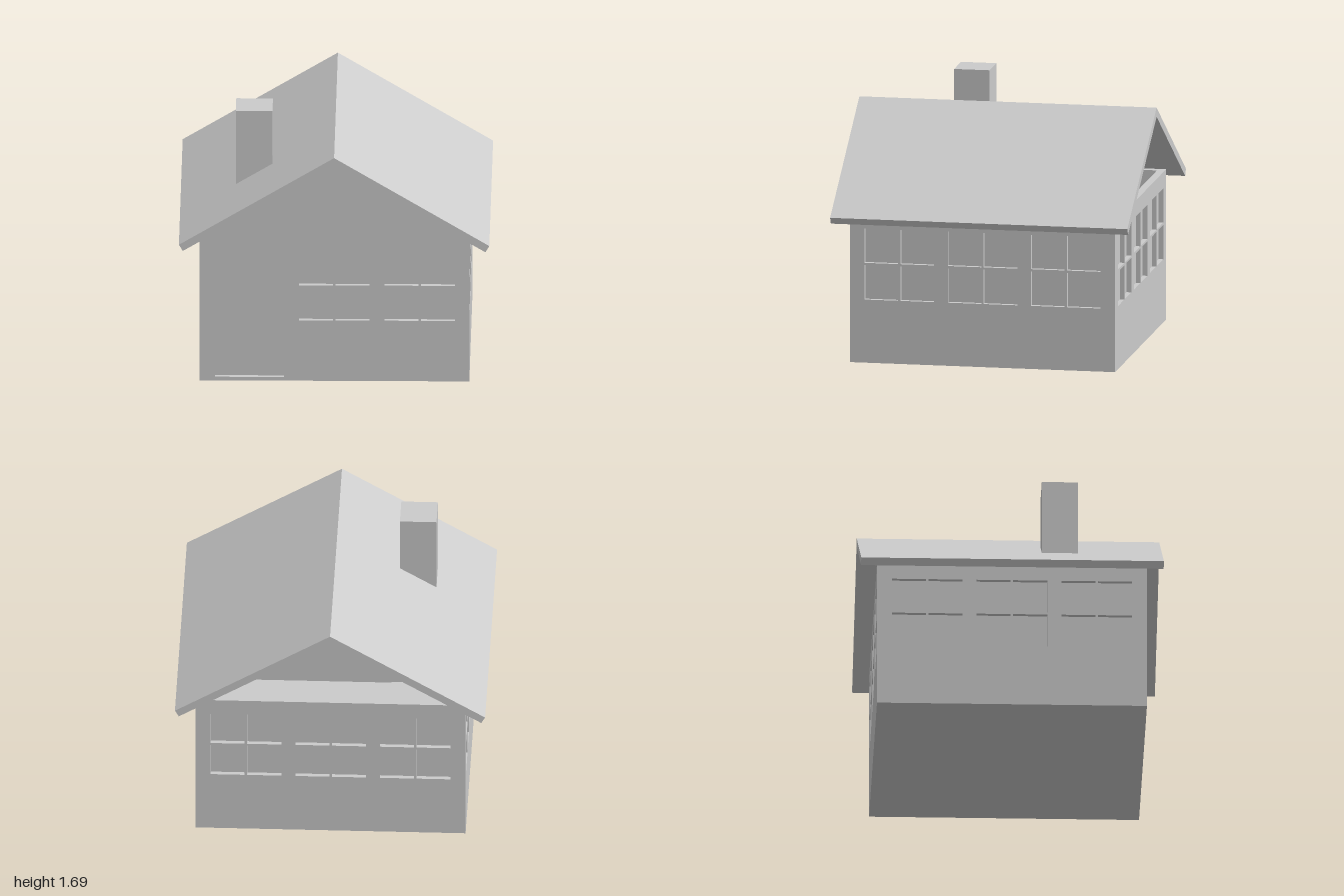
import * as THREE from 'three';

const HALF = 0.87;      // half width of the house
const WALL = 0.05;      // wall thickness
const SKIN = 0.03;      // depth of the outer reveal
const EAVE = 0.988;     // wall height under the roof
const mat = new THREE.MeshStandardMaterial({ color: 0xcccccc });

function add(parent, name, geo, x = 0, y = 0, z = 0) {
  const mesh = new THREE.Mesh(geo, mat);
  mesh.name = name;
  mesh.position.set(x, y, z);
  parent.add(mesh);
  return mesh;
}

function extrude(points, holes, depth) {
  const shape = new THREE.Shape(points.map(p => new THREE.Vector2(...p)));
  for (const [x0, y0, x1, y1] of holes) {
    shape.holes.push(new THREE.Path([
      new THREE.Vector2(x0, y0), new THREE.Vector2(x0, y1),
      new THREE.Vector2(x1, y1), new THREE.Vector2(x1, y0)]));
  }
  return new THREE.ExtrudeGeometry(shape, { depth, bevelEnabled: false });
}

// A wall whose outer face lies at local z = 0 and looks along +z
function makeWall(name, outline, windowCentres, door) {
  const wall = new THREE.Group();
  wall.name = name;
  const outer = [], inner = [];
  for (const c of windowCentres) {
    inner.push([c - 0.228, 0.415, c + 0.228, 0.882]);
    for (const [x0, x1] of [[-0.228, -0.008], [0.008, 0.228]])
      for (const [y0, y1] of [[0.415, 0.641], [0.656, 0.882]])
        outer.push([c + x0, y0, c + x1, y1]);
  }
  if (door) { outer.push(door); inner.push(door); }

  // Outer skin keeps the glazing bars, inner skin has plain openings
  add(wall, name + 'Outer', extrude(outline, outer, SKIN), 0, 0, -SKIN);
  add(wall, name + 'Inner', extrude(outline, inner, WALL - SKIN), 0, 0, -WALL);

  // Recessed window panes and door leaf
  for (const r of inner) {
    const geo = new THREE.BoxGeometry(r[2] - r[0], r[3] - r[1], 0.01);
    add(wall, r === door ? 'door' : 'windowPane', geo,
      (r[0] + r[2]) / 2, (r[1] + r[3]) / 2, -SKIN - 0.005);
  }
  return wall;
}

export function createModel() {
  const house = new THREE.Group();
  house.name = 'house';
  const rect = w => [[-w, 0], [w, 0], [w, EAVE], [-w, EAVE]];
  const three = [-0.546, 0, 0.546];

  // Floor slab
  const inside = 2 * (HALF - WALL);
  add(house, 'floor', new THREE.BoxGeometry(inside, 0.025, inside), 0, 0.0125, 0);

  // Front wall with full gable, door and two windows
  const gable = [[-HALF, 0], [HALF, 0], [HALF, EAVE], [0, 1.51], [-HALF, EAVE]];
  const front = makeWall('frontWall', gable, [0, 0.55], [-0.77, 0.025, -0.325, 0.882]);
  front.position.z = HALF;
  house.add(front);

  // Back wall stops at the eaves, leaving the gable open
  const back = makeWall('backWall', rect(HALF), three);
  back.rotation.y = Math.PI;
  back.position.z = -HALF;
  house.add(back);

  // Side walls fit between front and back
  for (const s of [1, -1]) {
    const side = makeWall(s > 0 ? 'leftWall' : 'rightWall', rect(HALF - WALL), three);
    side.rotation.y = s * Math.PI / 2;
    side.position.x = s * HALF;
    house.add(side);
  }

  // Pitched roof
  const chevron = [[-1, 0.97], [-0.975, 0.927], [0, 1.51], [0.975, 0.927], [1, 0.97], [0, 1.57]];
  add(house, 'roof', extrude(chevron, [], 1.95), 0, 0, -0.975);

  // Chimney
  add(house, 'chimney', new THREE.BoxGeometry(0.236, 0.55, 0.232), -0.522, 1.415, 0.315);

  return house;
}
